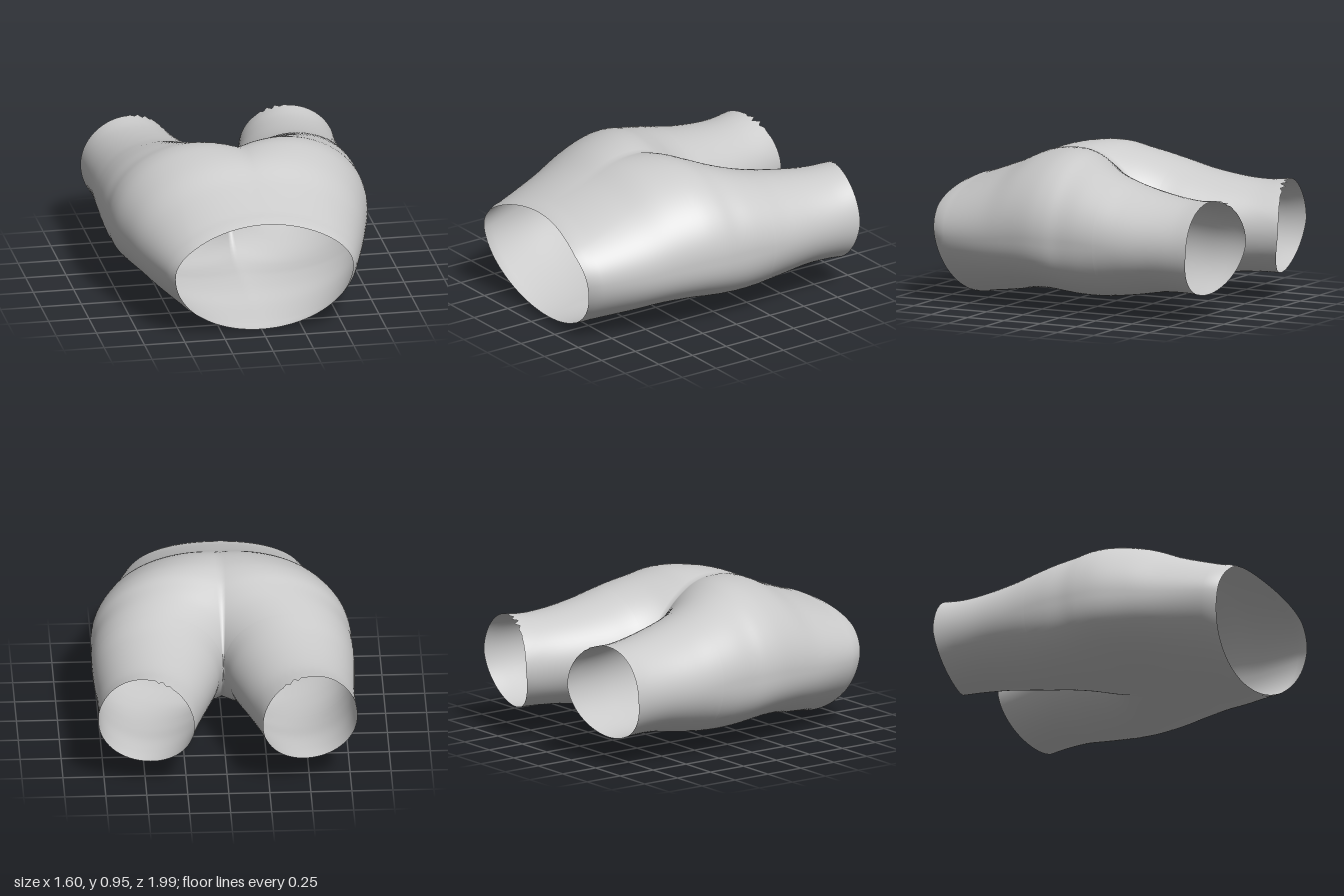
import * as THREE from 'three';
import { mergeGeometries, mergeVertices } from 'three/addons/utils/BufferGeometryUtils.js';

// Cross-section of one half along z: z, inner x, outer x, top y, bottom y, middle y, bottom roundness
const SECTIONS = [
  [1.0, -0.55, 0.55, 0.71, 0.00, 0.41, 1.0],
  [0.97, -0.57, 0.57, 0.725, 0.00, 0.41, 1.0],
  [0.9, -0.595, 0.595, 0.74, 0.01, 0.41, 1.0],
  [0.6, -0.59, 0.68, 0.84, 0.045, 0.43, 0.9],
  [0.4, -0.52, 0.735, 0.92, 0.08, 0.46, 0.8],
  [0.22, -0.41, 0.78, 0.95, 0.095, 0.48, 0.75],
  [0.1, -0.31, 0.795, 0.942, 0.092, 0.48, 0.75],
  [0.0, -0.21, 0.795, 0.91, 0.09, 0.48, 0.75],
  [-0.12, -0.08, 0.80, 0.87, 0.097, 0.48, 0.8],
  [-0.25, 0.0, 0.80, 0.83, 0.11, 0.47, 0.9],
  [-0.4, 0.04, 0.795, 0.79, 0.13, 0.46, 1.0],
  [-0.6, 0.10, 0.785, 0.755, 0.163, 0.46, 1.0],
  [-0.8, 0.16, 0.785, 0.74, 0.172, 0.46, 1.0],
  [-1.0, 0.21, 0.79, 0.75, 0.17, 0.46, 1.0],
];
const CROTCH_Z = -0.25;
const COLUMNS = 72;

// Smooth Hermite interpolation of the section table
function sectionAt(z) {
  const n = SECTIONS.length;
  let k = 0;
  while (k < n - 2 && SECTIONS[k + 1][0] > z) k++;
  const a = SECTIONS[k], b = SECTIONS[k + 1], h = b[0] - a[0];
  const t = (z - a[0]) / h;
  const slope = (i, c) => {
    const p = SECTIONS[Math.max(i - 1, 0)], q = SECTIONS[Math.min(i + 1, n - 1)];
    return (q[c] - p[c]) / (q[0] - p[0]);
  };
  return a.map((v, c) => {
    const t2 = t * t, t3 = t2 * t;
    return (2 * t3 - 3 * t2 + 1) * v + (t3 - 2 * t2 + t) * h * slope(k, c)
      + (3 * t2 - 2 * t3) * b[c] + (t3 - t2) * h * slope(k + 1, c);
  });
}

// Bends the flat rings at both ends into the slanted waist and the uneven leg hems
function shiftedZ(x, y, z) {
  const waist = Math.max(0, (z - 0.3) / 0.7) ** 2;
  const hem = Math.max(0, (-z - 0.5) / 0.5) ** 2;
  const drop = 0.13 * Math.max(0, (0.7 - y) / 0.7) ** 1.5;
  const dip = y > 0.41 ? 0.05 * Math.max(0, 1 - (x / 0.45) ** 2) * ((y - 0.41) / 0.3) : 0;
  const t = THREE.MathUtils.clamp((x - 0.21) / 0.58, 0, 1);
  const slant = 0.11 * (1 - (1 - t) ** 2) + (y < 0.46 ? 0.04 * (0.46 - y) / 0.29 : 0);
  const frayed = Math.exp(-(((x - 0.39) / 0.07) ** 2)) * Math.max(0, y - 0.5) * 4;
  const tear = 0.025 * frayed * Math.sin(x * 130);
  return z - waist * (drop + dip) + hem * (slant + tear);
}

// One half: an open arc meeting the centre seam above the crotch, a closed loop in the leg
function halfGeometry(side) {
  const rows = [];
  for (let i = 0; i <= 44; i++) rows.push(CROTCH_Z + (1 - CROTCH_Z) * (1 - i / 44) ** 1.7);
  for (let i = 1; i <= 26; i++) rows.push(CROTCH_Z + (-1 - CROTCH_Z) * (i / 26));
  const positions = [], index = [];
  rows.forEach((z, i) => {
    const [, inner, outer, top, bottom, middle, round] = sectionAt(z);
    const cx = (inner + outer) / 2, rx = (outer - inner) / 2;
    const start = z > CROTCH_Z + 1e-6 ? Math.acos(Math.min(1, cx / rx)) : 0;
    for (let j = 0; j <= COLUMNS; j++) {
      const angle = start + (2 * Math.PI - 2 * start) * (j / COLUMNS);
      const s = Math.sin(angle);
      let x = Math.max(0, cx - rx * Math.cos(angle));
      if (x < 1e-4) x = 0;
      const y = s >= 0 ? middle + (top - middle) * s
        : middle - (middle - bottom) * (-s) ** round;
      positions.push(side * x, y, shiftedZ(x, y, z));
      if (i < rows.length - 1 && j < COLUMNS) {
        const a = i * (COLUMNS + 1) + j, b = a + 1, c = a + COLUMNS + 1, d = c + 1;
        if (side > 0) index.push(a, b, c, b, d, c);
        else index.push(a, c, b, b, c, d);
      }
    }
  });
  const geometry = new THREE.BufferGeometry();
  geometry.setAttribute('position', new THREE.Float32BufferAttribute(positions, 3));
  geometry.setIndex(index);
  return geometry;
}

export function createModel() {
  const group = new THREE.Group();
  group.name = 'shorts';
  // Both halves welded along the centre seam
  const geometry = mergeVertices(mergeGeometries([halfGeometry(1), halfGeometry(-1)]), 1e-4);
  geometry.computeVertexNormals();
  const material = new THREE.MeshStandardMaterial({ color: 0xcccccc, side: THREE.DoubleSide });
  const fabric = new THREE.Mesh(geometry, material);
  fabric.name = 'fabricShell';
  group.add(fabric);
  return group;
}
